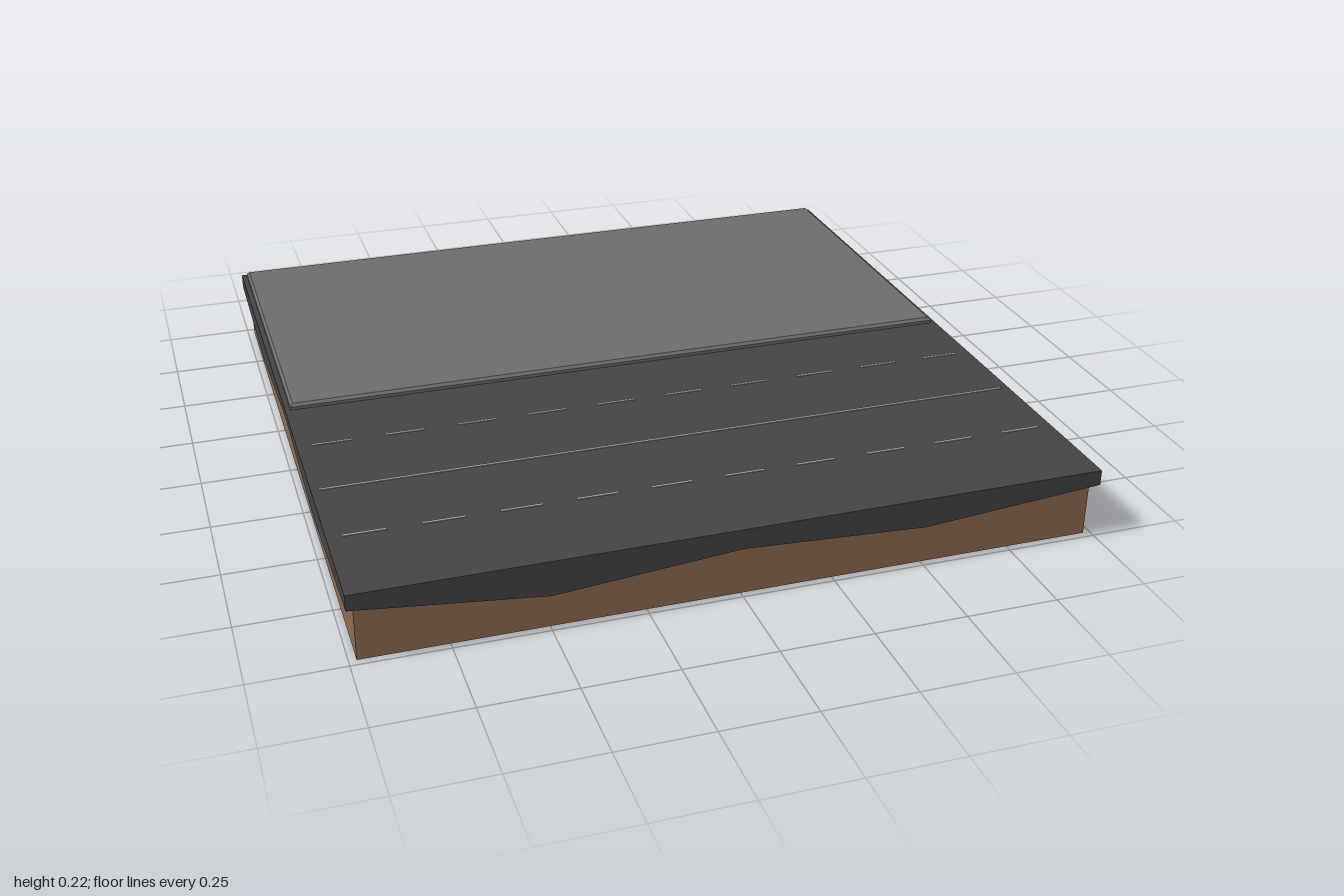
import * as THREE from 'three';

const mat = (color) => new THREE.MeshStandardMaterial({ color, flatShading: true });

function addMesh(parent, name, geometry, material, x = 0, y = 0, z = 0) {
  const mesh = new THREE.Mesh(geometry, material);
  mesh.name = name;
  mesh.position.set(x, y, z);
  parent.add(mesh);
  return mesh;
}

const SLAB_BOTTOM = 0.18, ROAD_TOP = 0.198, LIP = 0.02;

// Vertical strip with a wavy lower edge; heights run evenly from left to right
function skirtGeometry(halfWidth, heights) {
  const shape = new THREE.Shape();
  heights.forEach((h, i) => {
    const x = -halfWidth + (2 * halfWidth * i) / (heights.length - 1);
    if (i === 0) shape.moveTo(x, h);
    else shape.lineTo(x, h);
  });
  shape.lineTo(halfWidth, SLAB_BOTTOM);
  shape.lineTo(-halfWidth, SLAB_BOTTOM);
  shape.closePath();
  const geometry = new THREE.ExtrudeGeometry(shape, { depth: LIP, bevelEnabled: false });
  return geometry.translate(0, 0, 1 - LIP);
}

// Flat-topped block with chamfered upper edges
function chamferedBlock(width, height, depth, chamfer) {
  const geometry = new THREE.BoxGeometry(width, height, depth, 1, 2, 1).toNonIndexed();
  const p = geometry.attributes.position;
  for (let i = 0; i < p.count; i++) {
    const y = p.getY(i);
    if (y > height / 4) {
      p.setX(i, p.getX(i) - Math.sign(p.getX(i)) * chamfer);
      p.setZ(i, p.getZ(i) - Math.sign(p.getZ(i)) * chamfer);
    } else if (y > -height / 4) {
      p.setY(i, height / 2 - chamfer);
    }
  }
  geometry.computeVertexNormals();
  return geometry;
}

export function createModel() {
  const model = new THREE.Group();
  model.name = 'roadTile';
  const soil = mat(0x8f6b4f);
  const asphalt = mat(0x444444);
  const concrete = mat(0x6c6c6c);
  const paint = mat(0xb4b4b4);

  // Earth base
  addMesh(model, 'earthBase', new THREE.BoxGeometry(1.96, SLAB_BOTTOM, 1.96), soil, 0, SLAB_BOTTOM / 2, 0);

  // Asphalt slab
  const thickness = ROAD_TOP - SLAB_BOTTOM;
  addMesh(model, 'roadSlab', new THREE.BoxGeometry(2, thickness, 2), asphalt, 0, SLAB_BOTTOM + thickness / 2, 0);

  // Wavy asphalt skirt on all four sides
  const longSkirt = skirtGeometry(1, [0.155, 0.1, 0.142, 0.115, 0.155]);
  const sideSkirt = skirtGeometry(1 - LIP, [0.155, 0.127, 0.172, 0.127, 0.155]);
  ['frontSkirt', 'leftSkirt', 'backSkirt', 'rightSkirt'].forEach((name, i) => {
    const skirt = addMesh(model, name, i % 2 ? sideSkirt : longSkirt, asphalt);
    skirt.rotation.y = (i * Math.PI) / 2;
  });

  // Raised pavement over the back half
  const paveHeight = 0.017;
  addMesh(model, 'pavement', chamferedBlock(1.97, paveHeight, 1.0, 0.008), concrete, 0, ROAD_TOP + paveHeight / 2, -0.485);

  // Lane markings: solid centre line between two dashed lines
  const markings = new THREE.Group();
  markings.name = 'laneMarkings';
  model.add(markings);
  const lineHeight = 0.003, lineWidth = 0.008;
  const lineY = ROAD_TOP + lineHeight / 2 - 0.001;
  addMesh(markings, 'centreLine', new THREE.BoxGeometry(1.96, lineHeight, lineWidth), paint, 0, lineY, 0.485);
  const dash = new THREE.BoxGeometry(0.112, lineHeight, lineWidth);
  for (const z of [0.238, 0.73]) {
    for (let i = 0; i < 10; i++) addMesh(markings, 'laneDash', dash, paint, (i - 4.5) * 0.201, lineY, z);
  }
  return model;
}
